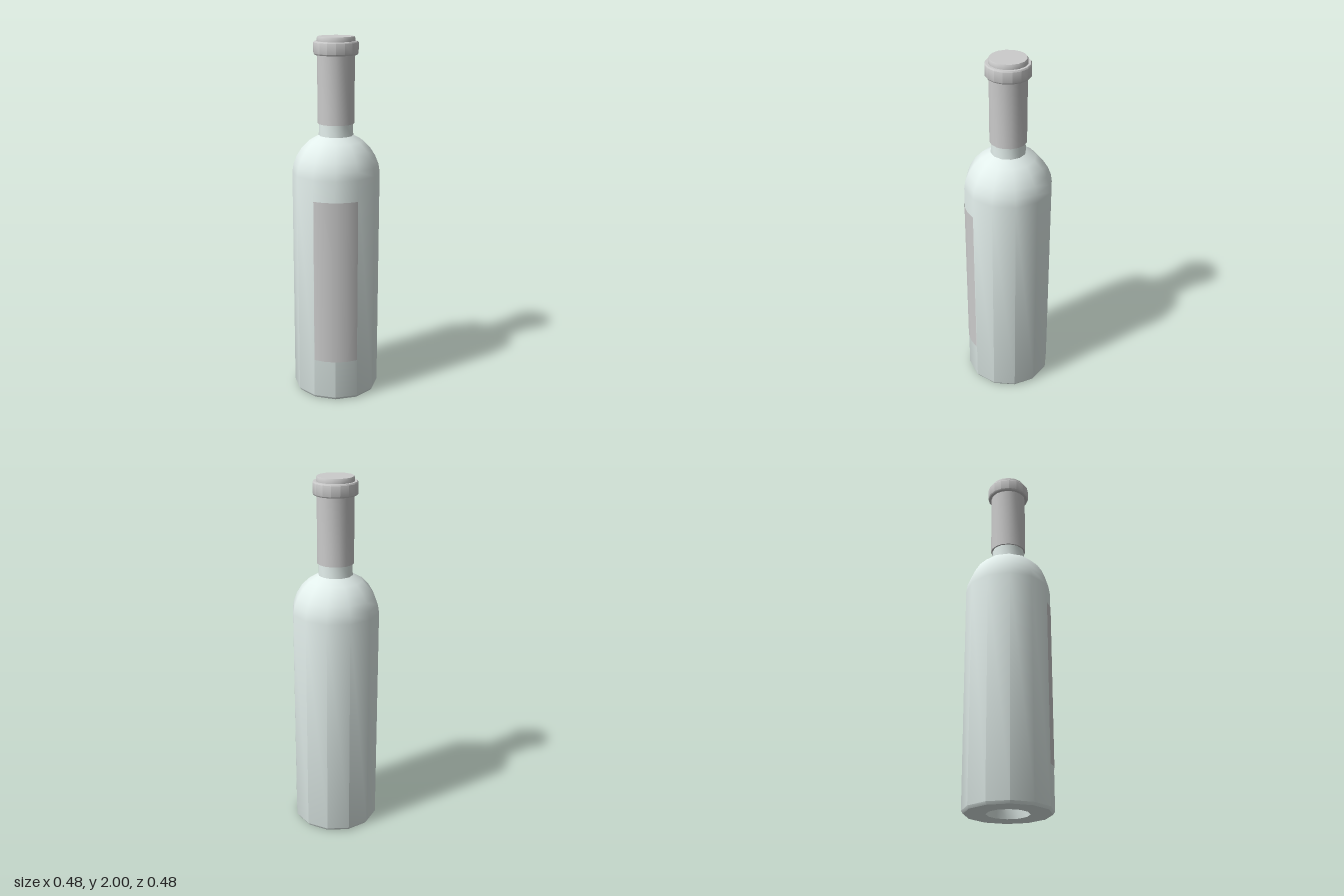
import * as THREE from 'three';
import { toCreasedNormals } from 'three/addons/utils/BufferGeometryUtils.js';

const glass = new THREE.MeshStandardMaterial({ color: 0xe2eeeb });
const grey = new THREE.MeshStandardMaterial({ color: 0xcccccc });
const paper = new THREE.MeshStandardMaterial({ color: 0xcccccc, side: THREE.DoubleSide });

// Turned part from [radius, height] pairs, listed from the bottom up
function turned(name, profile, sides, material) {
  const points = profile.map(([r, y]) => new THREE.Vector2(r, y));
  const geometry = toCreasedNormals(new THREE.LatheGeometry(points, sides), 0.65);
  const mesh = new THREE.Mesh(geometry, material);
  mesh.name = name;
  return mesh;
}

export function createModel() {
  const bottle = new THREE.Group();
  bottle.name = 'bottle';

  // Glass body: hollow in the base, straight wall, round shoulder and neck
  bottle.add(turned('body', [
    [0.105, 0.07], [0.115, 0], [0.23, 0], [0.24, 0.015],
    [0.24, 1.27], [0.233, 1.315], [0.215, 1.36], [0.187, 1.405],
    [0.148, 1.445], [0.094, 1.475], [0.091, 1.56],
  ], 12, glass));

  // Ceiling of the hollow in the base
  bottle.add(turned('baseHollow', [[0, 0.07], [0.105, 0.07]], 12, grey));

  // Foil sleeve with its collar and closed top
  bottle.add(turned('foil', [
    [0.09, 1.54], [0.1, 1.54], [0.1, 1.905], [0.115, 1.905], [0.12, 1.912],
    [0.12, 1.968], [0.115, 1.975], [0.102, 1.975], [0.102, 1.99],
    [0.097, 2], [0, 2],
  ], 16, grey));

  // Curved label on the front
  const arc = THREE.MathUtils.degToRad(59);
  const label = new THREE.Mesh(
    new THREE.CylinderGeometry(0.242, 0.242, 0.92, 4, 1, true, -arc / 2, arc), paper);
  label.name = 'label';
  label.position.y = 0.695;
  bottle.add(label);

  return bottle;
}
